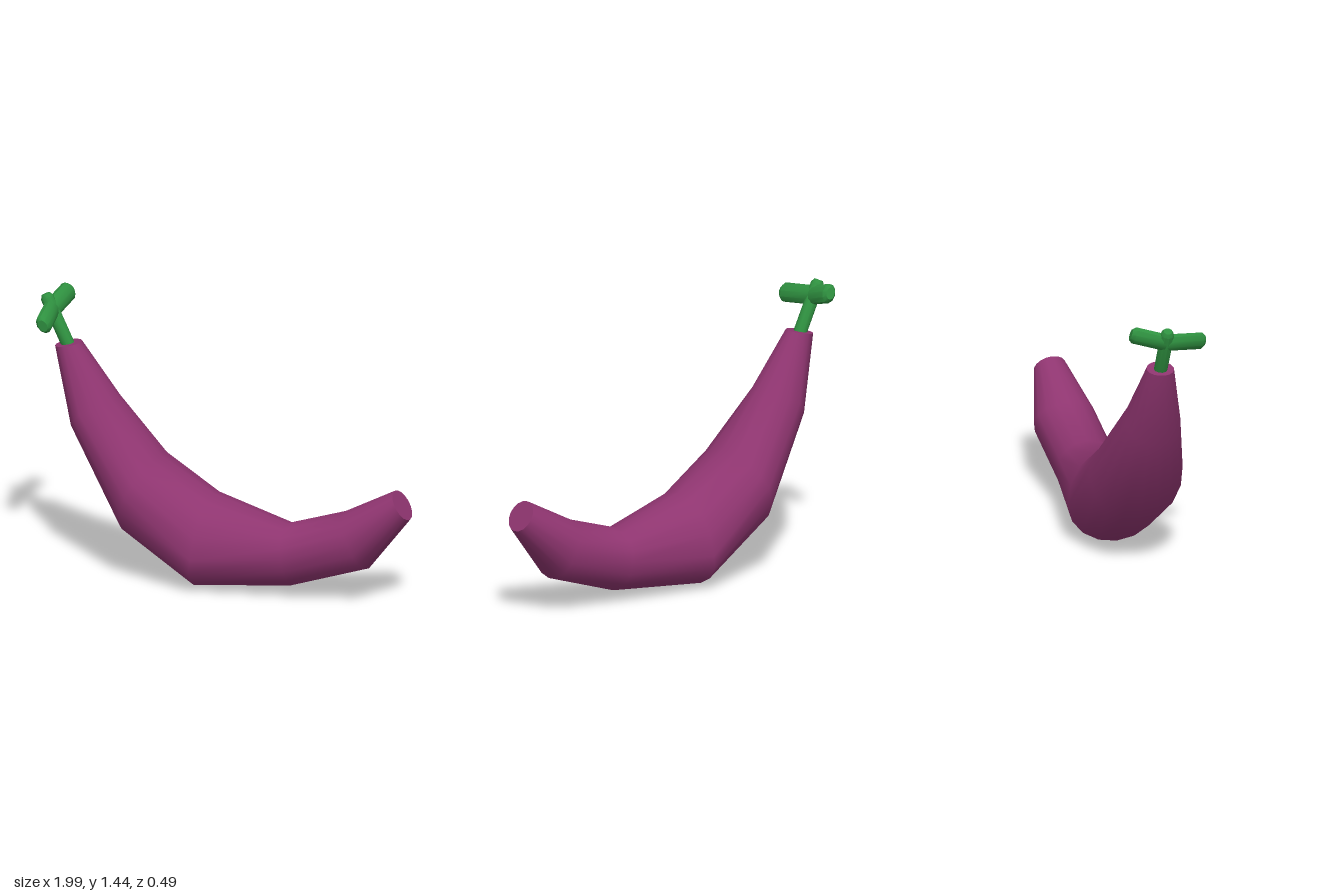
import * as THREE from 'three';
import { toCreasedNormals } from 'three/addons/utils/BufferGeometryUtils.js';

const SIDES = 16;
const skin = new THREE.MeshStandardMaterial({ color: 0x8f3570 });
const green = new THREE.MeshStandardMaterial({ color: 0x2f9140 });
const v = (x, y, z = 0) => new THREE.Vector3(x, y, z);

// Cross-sections from stem to tip: outer edge, widest point, inner edge (x, y), half width in z
const sections = [
  [[-0.915, 1.17], [-0.848, 1.183], [-0.78, 1.197], 0.07],
  [[-0.82, 0.76], [-0.735, 0.86], [-0.58, 0.93], 0.142],
  [[-0.53, 0.25], [-0.455, 0.49], [-0.355, 0.655], 0.245],
  [[-0.14, 0.005], [-0.1, 0.2], [-0.07, 0.485], 0.245],
  [[0.37, 0.055], [0.353, 0.23], [0.33, 0.372], 0.158],
  [[0.77, 0.19], [0.717, 0.354], [0.63, 0.47], 0.158],
  [[0.992, 0.475], [0.949, 0.545], [0.905, 0.615], 0.082],
];

// Egg-shaped ring: separate radii towards the inner and outer edge
function ring([outer, mid, inner, width]) {
  return Array.from({ length: SIDES }, (_, j) => {
    const t = (j / SIDES) * Math.PI * 2;
    const c = Math.cos(t), edge = c > 0 ? inner : outer, k = Math.abs(c);
    return v(mid[0] + (edge[0] - mid[0]) * k, mid[1] + (edge[1] - mid[1]) * k, width * Math.sin(t));
  });
}

function bodyGeometry() {
  const rings = sections.map(ring);
  const points = rings.flat(), index = [];
  for (let i = 0; i < rings.length - 1; i++) {
    for (let j = 0; j < SIDES; j++) {
      const a = i * SIDES + j, b = i * SIDES + (j + 1) % SIDES;
      index.push(a, b, a + SIDES, b, b + SIDES, a + SIDES);
    }
  }
  // Flat end caps on their own vertices, so the rims stay sharp
  [rings[0], rings[rings.length - 1]].forEach((r, end) => {
    const base = points.length;
    points.push(...r);
    for (let j = 1; j < SIDES - 1; j++) {
      index.push(base, base + j + (end ? 0 : 1), base + j + (end ? 1 : 0));
    }
  });
  const geo = new THREE.BufferGeometry().setFromPoints(points);
  geo.setIndex(index);
  geo.computeVertexNormals();
  return geo;
}

// Bevel-ended rod from one point to another, with an oval section wide along `wide`
function rod(name, from, to, wide, rWide, rThin) {
  const y = to.clone().sub(from), len = y.length();
  y.normalize();
  const x = wide.clone().addScaledVector(y, -wide.dot(y)).normalize();
  const z = x.clone().cross(y);
  const profile = [[0, 0], [1, 0], [1, len - 0.02], [0.65, len], [0, len]];
  const geo = new THREE.LatheGeometry(profile.map(p => new THREE.Vector2(...p)), 10);
  geo.scale(rWide, 1, rThin);
  geo.applyMatrix4(new THREE.Matrix4().makeBasis(x, y, z).setPosition(from));
  const mesh = new THREE.Mesh(toCreasedNormals(geo, 0.7), green);
  mesh.name = name;
  return mesh;
}

export function createModel() {
  const model = new THREE.Group();
  model.name = 'eggplant';

  const body = new THREE.Mesh(bodyGeometry(), skin);
  body.name = 'body';
  model.add(body);

  // Leaning stem with a leaf stub to each side
  const base = v(-0.845, 1.165), top = v(-0.972, 1.428);
  const axis = top.clone().sub(base).normalize();
  const joint = v(-0.937, 1.355);
  model.add(
    rod('stem', base, top, v(0, 0, 1), 0.034, 0.034),
    rod('frontLeaf', joint, v(-0.905, 1.33, 0.21), axis, 0.05, 0.036),
    rod('backLeaf', joint, v(-0.907, 1.408, -0.175), axis, 0.05, 0.036),
  );
  return model;
}
